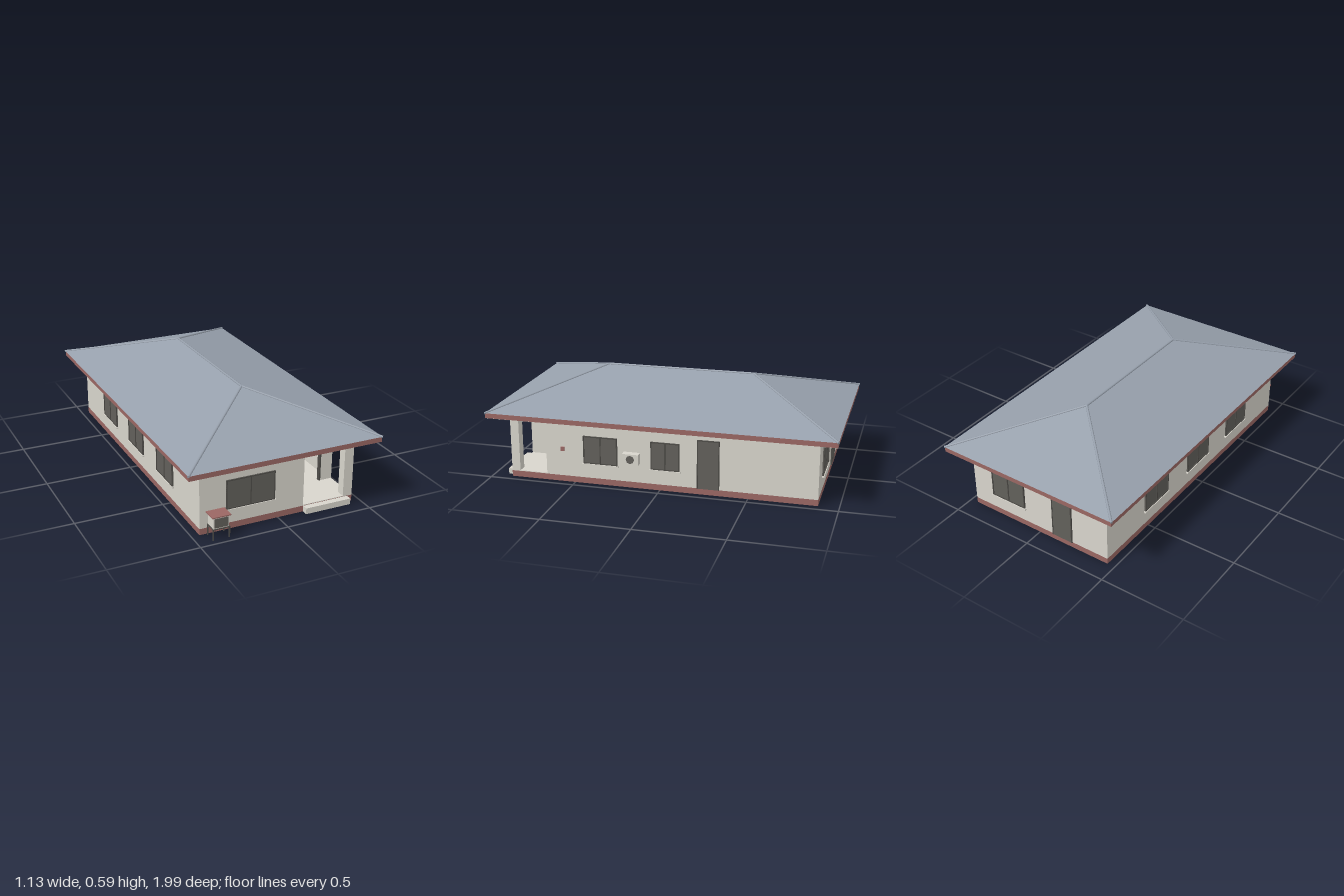
import * as THREE from 'three';

const material = (name, color) => {
  const m = new THREE.MeshStandardMaterial({ color });
  m.name = name;
  return m;
};

export function createModel() {
  const plaster = material('plaster', 0xd8d5cc);
  const red = material('brickRed', 0x9a6763);
  const roofGrey = material('roofGrey', 0x97a0ac);
  const glass = material('darkGlass', 0x62605b);
  const dark = material('darkFrame', 0x4e4c48);

  const house = new THREE.Group();
  house.name = 'house';

  const add = (parent, name, geometry, mat) => {
    const mesh = new THREE.Mesh(geometry, mat);
    mesh.name = name;
    parent.add(mesh);
    return mesh;
  };
  // Box given by its lower and upper bounds
  const box = (parent, name, mat, x0, x1, y0, y1, z0, z1) => {
    const mesh = add(parent, name, new THREE.BoxGeometry(x1 - x0, y1 - y0, z1 - z0), mat);
    mesh.position.set((x0 + x1) / 2, (y0 + y1) / 2, (z0 + z1) / 2);
    return mesh;
  };
  const group = (name, x = 0, z = 0, turn = 0) => {
    const g = new THREE.Group();
    g.name = name;
    g.position.set(x, 0, z);
    g.rotation.y = turn;
    house.add(g);
    return g;
  };

  // Plinth, floor and front step
  const W = 0.455, D = 0.885, T = 0.02, FLOOR = 0.035, TOP = 0.376;
  box(house, 'plinth', red, -W, W, 0, FLOOR, -D, D);
  box(house, 'floor', plaster, -W + 0.001, W - 0.001, FLOOR, 0.039, -D + 0.001, D - 0.001);
  box(house, 'frontStep', plaster, 0.153, 0.427, 0, 0.034, D, 0.92);

  // Outer walls around the recessed corner porch
  const PX = 0.152, PZ = 0.67;
  const wall = (name, x0, x1, z0, z1) => box(house, name, plaster, x0, x1, FLOOR, TOP, z0, z1);
  wall('frontWall', -W, PX, D - T, D);
  wall('leftSideWall', W - T, W, -D, PZ);
  wall('rightSideWall', -W, -W + T, -D, D);
  wall('backWall', -W, W, -D, -D + T);
  wall('porchSideWall', PX - T, PX, PZ - T, D);
  wall('porchColumn', 0.4, W, 0.835, D);

  // Porch back wall with the doorway cut out
  const DX0 = 0.257, DX1 = 0.379, DY = 0.315;
  const shape = new THREE.Shape();
  [[PX, FLOOR], [DX0, FLOOR], [DX0, DY], [DX1, DY], [DX1, FLOOR], [W, FLOOR], [W, TOP], [PX, TOP]]
    .forEach(([x, y], i) => (i ? shape.lineTo(x, y) : shape.moveTo(x, y)));
  const porchWall = add(house, 'porchBackWall',
    new THREE.ExtrudeGeometry(shape, { depth: T, bevelEnabled: false }), plaster);
  porchWall.position.z = PZ - T;

  // Front door frame and the leaf standing open inward
  const door = group('frontDoor');
  box(door, 'doorJambRight', dark, DX0 - 0.003, DX0 + 0.005, 0.039, DY, PZ - T, PZ + 0.004);
  box(door, 'doorJambLeft', dark, DX1 - 0.005, DX1 + 0.003, 0.039, DY, PZ - T, PZ + 0.004);
  box(door, 'doorHead', dark, DX0 - 0.003, DX1 + 0.003, DY - 0.005, DY + 0.003, PZ - T, PZ + 0.004);
  box(door, 'doorLeaf', red, 0.269, 0.276, 0.041, 0.308, PZ - T - 0.11, PZ - T);
  box(door, 'doorHandle', red, 0.276, 0.281, 0.165, 0.178, PZ - T - 0.1, PZ - T - 0.085);

  // Two-pane windows with frame, mullion and sill; local +z faces outward
  const windowUnit = (name, x, z, turn, w, y0, y1) => {
    const g = group(name, x, z, turn);
    const h = w / 2, b = 0.006;
    box(g, 'panes', glass, -h, h, y0, y1, 0, 0.005);
    for (const c of [-h + b / 2, 0, h - b / 2]) {
      box(g, 'frameUpright', dark, c - b / 2, c + b / 2, y0, y1, 0, 0.009);
    }
    for (const c of [y0 + b / 2, y1 - b / 2]) {
      box(g, 'frameRail', dark, -h, h, c - b / 2, c + b / 2, 0, 0.0085);
    }
    box(g, 'sill', plaster, -h - 0.007, h + 0.007, y0 - 0.008, y0, 0, 0.013);
  };
  const Q = Math.PI / 2;
  windowUnit('frontWindow', -0.165, D, 0, 0.282, 0.118, 0.284);
  windowUnit('backWindow', 0.207, -D, 2 * Q, 0.225, 0.123, 0.285);
  for (const z of [0.345, -0.032]) {
    windowUnit('leftWindow', W, z, Q, z > 0 ? 0.2 : 0.165, 0.123, 0.285);
  }
  for (const z of [-0.425, 0.005, 0.435]) {
    windowUnit('rightWindow', -W, z, -Q, 0.225, 0.123, 0.285);
  }

  // Flush service doors
  const serviceDoor = (name, x, z, turn, w) => {
    const g = group(name, x, z, turn);
    box(g, 'leaf', glass, -w / 2, w / 2, FLOOR, 0.318, 0, 0.006);
    for (const s of [-1, 1]) {
      box(g, 'jamb', dark, s * w / 2 - 0.003, s * w / 2 + 0.003, FLOOR, 0.318, 0, 0.008);
    }
    box(g, 'head', dark, -w / 2, w / 2, 0.313, 0.319, 0, 0.008);
  };
  serviceDoor('leftSideDoor', W, -0.277, Q, 0.12);
  serviceDoor('backDoor', -0.16, -D, 2 * Q, 0.125);

  // Air conditioner with fan, and a small meter box
  const cooler = group('airConditioner', W, 0.157, Q);
  box(cooler, 'casing', plaster, -0.047, 0.047, 0.153, 0.215, 0.008, 0.048);
  for (const x of [-0.03, 0.03]) box(cooler, 'bracket', plaster, x - 0.004, x + 0.004, 0.148, 0.153, 0, 0.035);
  const fan = add(cooler, 'fan', new THREE.CylinderGeometry(0.024, 0.024, 0.003, 8), glass);
  fan.rotation.x = Q;
  fan.position.set(0, 0.184, 0.049);
  const meter = group('meterBox', W, 0.568, Q);
  box(meter, 'meterCase', plaster, -0.012, 0.012, 0.186, 0.212, 0, 0.008);
  box(meter, 'meterCover', red, -0.012, 0.012, 0.186, 0.212, 0.008, 0.012);

  // Glazed box on a four-legged stand
  const stand = group('standingBox', -0.368, 0.93);
  box(stand, 'boxBody', plaster, -0.044, 0.044, 0.064, 0.128, -0.033, 0.033);
  box(stand, 'boxPane', glass, -0.039, 0.039, 0.069, 0.121, 0.033, 0.036);
  box(stand, 'boxRoof', red, -0.053, 0.053, 0.128, 0.134, -0.041, 0.041);
  box(stand, 'standTop', dark, -0.049, 0.049, 0.059, 0.064, -0.037, 0.037);
  for (const x of [-0.046, 0.046]) for (const z of [-0.034, 0.034]) {
    box(stand, 'standLeg', dark, x - 0.003, x + 0.003, 0, 0.06, z - 0.003, z + 0.003);
  }

  // Soffit and fascia boards
  const EX = 0.557, EZ = 0.988;
  box(house, 'soffit', plaster, -EX + 0.004, EX - 0.004, 0.374, 0.38, -EZ + 0.004, EZ - 0.004);
  for (const s of [-1, 1]) {
    const side = box(house, 'sideFascia', red, -0.006, 0.006, 0.376, 0.405, -EZ, EZ);
    side.position.x = s * (EX - 0.006);
    const end = box(house, 'endFascia', red, -EX + 0.012, EX - 0.012, 0.376, 0.405, -0.006, 0.006);
    end.position.z = s * (EZ - 0.006);
  }

  // Hipped roof
  const RX = 0.56, RZ = 0.99, RY = 0.405, P = 0.585, R = 0.435;
  const a = [-RX, RY, RZ], b = [RX, RY, RZ], c = [RX, RY, -RZ], d = [-RX, RY, -RZ];
  const f = [0, P, R], k = [0, P, -R];
  const faces = [a, b, f, b, c, k, b, k, f, c, d, k, d, a, f, d, f, k, a, d, c, a, c, b];
  const roof = new THREE.BufferGeometry();
  roof.setAttribute('position', new THREE.Float32BufferAttribute(faces.flat(), 3));
  roof.computeVertexNormals();
  add(house, 'roof', roof, roofGrey);

  // Ridge and hip caps
  const cap = (name, p, q) => {
    const from = new THREE.Vector3(...p), to = new THREE.Vector3(...q);
    const dir = to.clone().sub(from);
    const mesh = add(house, name, new THREE.CylinderGeometry(0.007, 0.007, dir.length(), 8), roofGrey);
    mesh.position.copy(from).add(to).multiplyScalar(0.5);
    mesh.quaternion.setFromUnitVectors(new THREE.Vector3(0, 1, 0), dir.normalize());
  };
  cap('ridgeCap', f, k);
  [[a, f], [b, f], [c, k], [d, k]].forEach(([p, q]) => cap('hipCap', p, q));

  return house;
}
